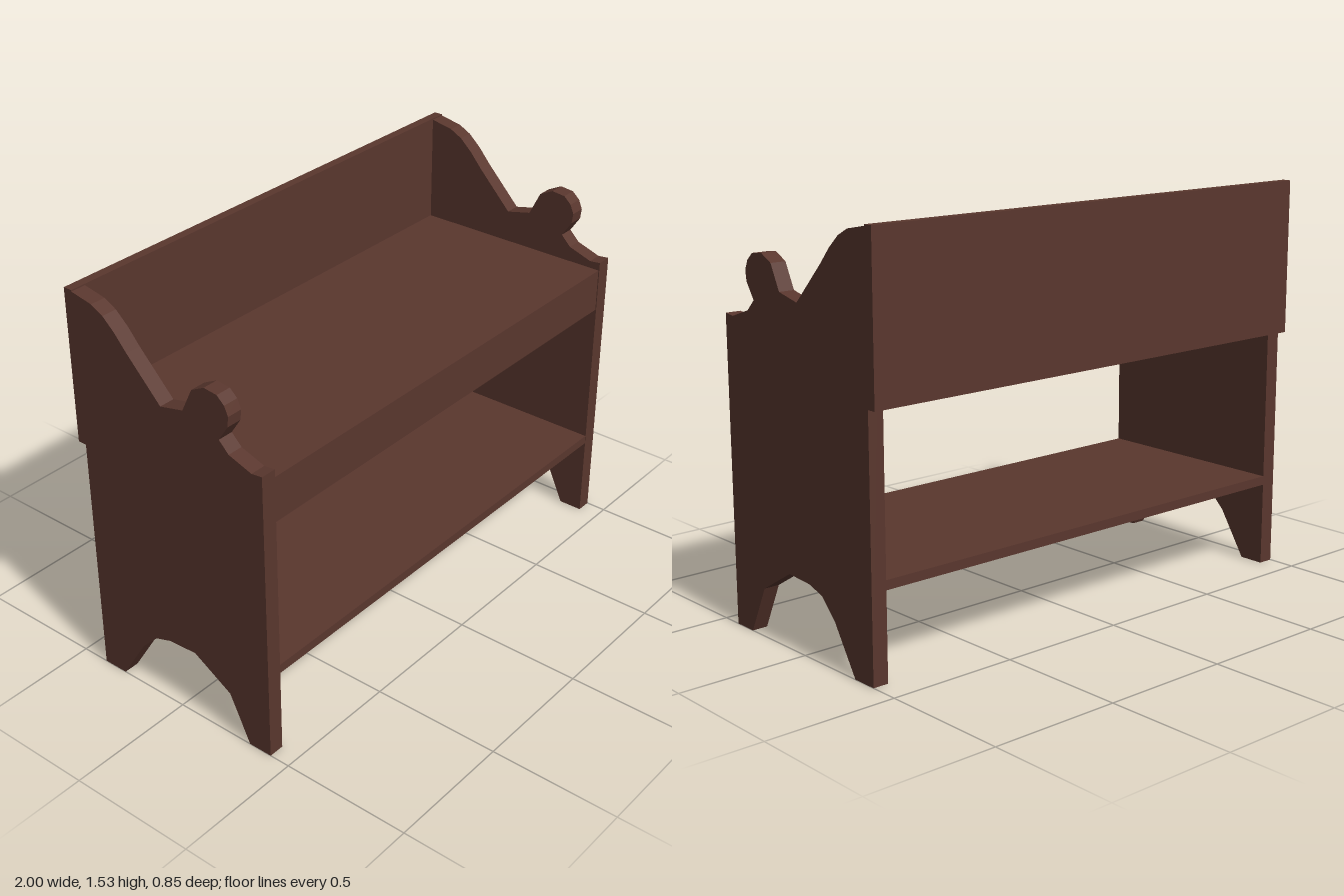
import * as THREE from 'three';

export function createModel() {
  const model = new THREE.Group();
  model.name = 'bench';
  const wood = new THREE.MeshStandardMaterial({ color: 0x5a372e, flatShading: true });
  wood.name = 'dark brown wood';

  // Box given by its limits on each axis
  const board = (name, [x0, x1], [y0, y1], [z0, z1]) => {
    const mesh = new THREE.Mesh(new THREE.BoxGeometry(x1 - x0, y1 - y0, z1 - z0), wood);
    mesh.position.set((x0 + x1) / 2, (y0 + y1) / 2, (z0 + z1) / 2);
    mesh.name = name;
    model.add(mesh);
  };

  // Side panel outline as [z, y]: feet with arch, back edge, scrolled top
  const outline = [
    [0.42, 0], [0.325, 0], [0.24, 0.18], [0.08, 0.275], [-0.04, 0.268], [-0.11, 0.245],
    [-0.18, 0.175], [-0.29, 0], [-0.39, 0], [-0.39, 1.525],
    [-0.3, 1.508], [-0.25, 1.482], [-0.2, 1.437], [-0.15, 1.38], [-0.01, 1.235],
    [0.09, 1.258], [0.135, 1.35], [0.19, 1.378], [0.245, 1.372], [0.275, 1.345],
    [0.29, 1.31], [0.285, 1.27], [0.245, 1.21], [0.285, 1.17], [0.38, 1.138], [0.424, 1.143],
  ];
  const shape = new THREE.Shape(outline.map(([z, y]) => new THREE.Vector2(-z, y)));
  const sideGeometry = new THREE.ExtrudeGeometry(shape, { depth: 0.06, bevelEnabled: false });
  sideGeometry.rotateY(Math.PI / 2);
  for (const [name, x] of [['leftSide', 0.94], ['rightSide', -1]]) {
    const side = new THREE.Mesh(sideGeometry, wood);
    side.position.x = x;
    side.name = name;
    model.add(side);
  }

  // Boards between and behind the sides
  const inner = [-0.94, 0.94];
  board('backrest', [-1, 1], [0.94, 1.53], [-0.425, -0.39]);
  board('seat', inner, [1.075, 1.11], [-0.39, 0.42]);
  board('frontApron', inner, [0.94, 1.075], [0.385, 0.42]);
  board('lowerShelf', inner, [0.325, 0.36], [-0.39, 0.42]);

  return model;
}
